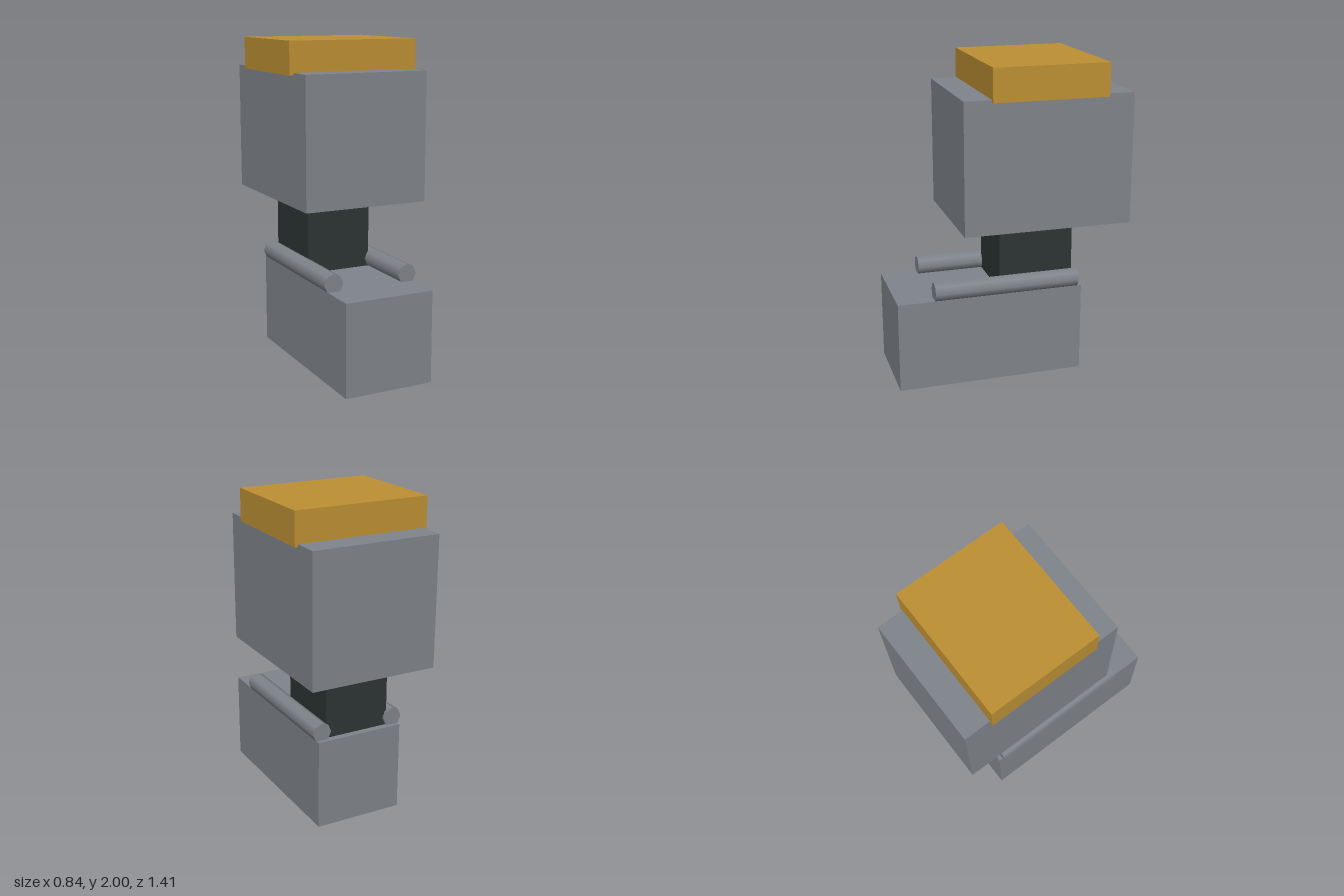
import * as THREE from 'three';

export function createModel() {
  const model = new THREE.Group();
  const mat = (name, color) => {
    const m = new THREE.MeshStandardMaterial({ color });
    m.name = name;
    return m;
  };
  const grey = mat('steelGrey', 0x80858b);
  const dark = mat('darkGreen', 0x2c3534);
  const gold = mat('ochre', 0xbd9034);

  const add = (name, geometry, material, x, y, z) => {
    const mesh = new THREE.Mesh(geometry, material);
    mesh.name = name;
    mesh.position.set(x, y, z);
    model.add(mesh);
  };
  // Box given by its limits on each axis
  const box = (name, material, [x0, x1], [y0, y1], [z0, z1]) =>
    add(name, new THREE.BoxGeometry(x1 - x0, y1 - y0, z1 - z0), material,
      (x0 + x1) / 2, (y0 + y1) / 2, (z0 + z1) / 2);

  box('base', grey, [-0.333, 0.233], [0, 0.567], [-0.468, 0.707]);
  box('neck', dark, [-0.26, 0.16], [0.55, 1.03], [-0.425, 0.048]);
  box('upperBlock', grey, [-0.4, 0.4], [1.015, 1.815], [-0.707, 0.33]);
  box('cap', gold, [-0.424, 0.42], [1.8, 2], [-0.543, 0.163]);

  // Eight-sided rods lying along the base's upper edges
  const rod = new THREE.CylinderGeometry(0.061, 0.061, 0.918, 8).rotateX(Math.PI / 2);
  add('rightRod', rod, grey, -0.295, 0.614, 0.017);
  add('leftRod', rod, grey, 0.196, 0.614, 0.017);

  return model;
}
